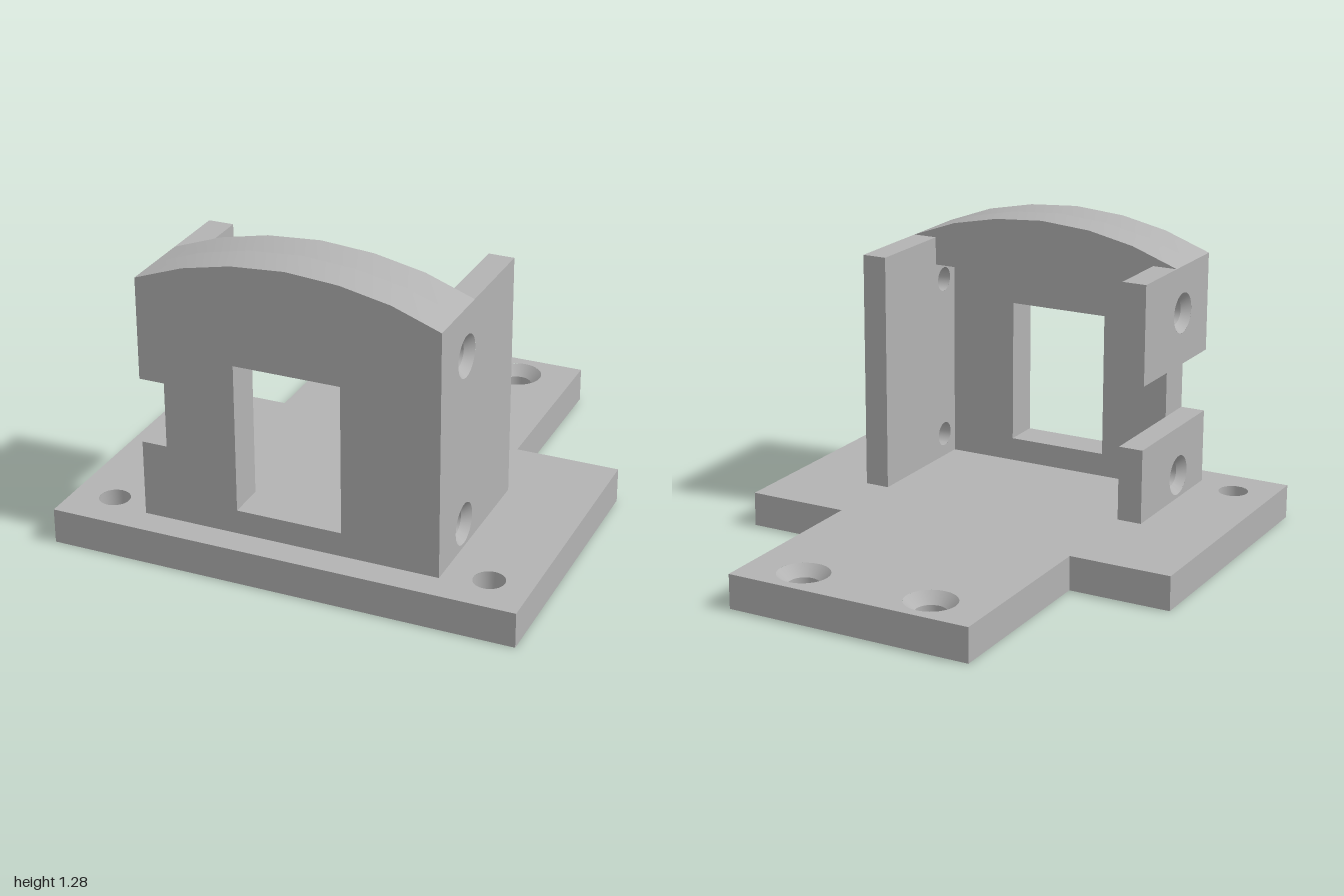
import * as THREE from 'three';
import { mergeGeometries, toCreasedNormals } from 'three/addons/utils/BufferGeometryUtils.js';

const SEG = 32;
const grey = new THREE.MeshStandardMaterial({ color: 0xb3b3b3 });
grey.name = 'plain grey';

const toShape = (pts) => new THREE.Shape(pts.map(([x, y]) => new THREE.Vector2(x, y)));
const rect = (x0, y0, x1, y1) => [[x0, y0], [x1, y0], [x1, y1], [x0, y1]];

// Plate from z = 0 to depth; each hole is { x, y, r, sink }, sink being the countersunk radius at z = depth
function drilledPlate(outline, holes, depth) {
  const cap = (z, radius) => {
    const shape = toShape(outline);
    for (const h of holes) {
      shape.holes.push(new THREE.Path().absarc(h.x, h.y, radius(h), 0, Math.PI * 2, true));
    }
    return new THREE.ShapeGeometry(shape, SEG).translate(0, 0, z);
  };
  const top = cap(depth, (h) => h.sink ?? h.r);
  const bottom = cap(0, (h) => h.r);
  bottom.setIndex([...bottom.index.array].reverse());
  const parts = [top, bottom];

  // outer rim, one quad per edge of the anticlockwise outline
  outline.forEach(([x0, y0], i) => {
    const [x1, y1] = outline[(i + 1) % outline.length];
    const quad = new THREE.PlaneGeometry(Math.hypot(x1 - x0, y1 - y0), depth);
    quad.rotateX(Math.PI / 2).rotateZ(Math.atan2(y1 - y0, x1 - x0));
    parts.push(quad.translate((x0 + x1) / 2, (y0 + y1) / 2, depth / 2));
  });

  // bores, with a 45 degree cone where countersunk
  for (const h of holes) {
    const profile = [new THREE.Vector2(h.r, 0)];
    if (h.sink) {
      profile.unshift(new THREE.Vector2(h.sink, depth), new THREE.Vector2(h.r, depth - (h.sink - h.r)));
    } else {
      profile.unshift(new THREE.Vector2(h.r, depth));
    }
    parts.push(new THREE.LatheGeometry(profile, SEG).rotateX(Math.PI / 2).translate(h.x, h.y, 0));
  }
  return toCreasedNormals(mergeGeometries(parts), 0.6);
}

export function createModel() {
  const model = new THREE.Group();
  model.name = 'mountingBracket';
  const add = (name, geometry) => {
    const mesh = new THREE.Mesh(geometry, grey);
    mesh.name = name;
    model.add(mesh);
    return mesh;
  };

  const floor = 0.145, wallTop = 1.15, left = 0.615, right = -0.62, innerLeft = 0.51, innerRight = -0.515;
  const panelBack = 0.72, panelFront = 0.88;

  // T-shaped base with two plain front holes and two countersunk rear holes
  const base = [[-0.965, -1], [0.965, -1], [0.965, 0.19], [0.53, 0.19], [0.53, 1], [-0.53, 1], [-0.53, 0.19], [-0.965, 0.19]];
  const baseHoles = [-1, 1].flatMap((s) => [
    { x: s * 0.792, y: -0.82, r: 0.063 },
    { x: s * 0.284, y: 0.85, r: 0.063, sink: 0.107 },
  ]);
  add('basePlate', drilledPlate(base, baseHoles, floor).rotateX(-Math.PI / 2));

  // front panel: arched top, side notch and window
  const arch = [[left, wallTop], [0.42, 1.222], [0.215, 1.264], [0, 1.28], [-0.22, 1.264], [-0.42, 1.222], [right, wallTop]];
  const panel = toShape([[right, floor], [left, floor], ...arch,
    [right, 0.73], [innerRight, 0.73], [innerRight, 0.46], [right, 0.46]]);
  panel.holes.push(new THREE.Path(rect(-0.22, 0.245, 0.217, 0.86).reverse().map(([x, y]) => new THREE.Vector2(x, y))));
  const extrude = (shape, z0, z1) => toCreasedNormals(
    new THREE.ExtrudeGeometry(shape, { depth: z1 - z0, bevelEnabled: false }).translate(0, 0, z0), 0.6);
  add('frontPanel', extrude(panel, panelBack, panelFront));

  // arched header reaching back between the side walls
  const header = toShape([[innerRight, 1.03], [innerLeft, 1.03], [innerLeft, wallTop], ...arch, [innerRight, wallTop]]);
  add('archHeader', extrude(header, 0.56, panelBack));

  // side walls, countersunk on their outer faces
  const sideWall = (name, side, zBack, y0, y1, holeY) => {
    const u = [-side * zBack, -side * panelBack].sort((a, b) => a - b);
    const holes = holeY.map((y) => ({ x: -side * 0.63, y, r: 0.052, sink: 0.085 }));
    const wall = add(name, drilledPlate(rect(u[0], y0, u[1], y1), holes, 0.105));
    wall.rotation.y = side * Math.PI / 2;
    wall.position.x = side > 0 ? innerLeft : innerRight;
  };
  sideWall('leftWall', 1, 0.145, floor, wallTop, [0.245, 0.95]);
  sideWall('rightWallLower', -1, 0.27, floor, 0.46, [0.245]);
  sideWall('rightWallUpper', -1, 0.27, 0.73, wallTop, [0.95]);

  return model;
}
